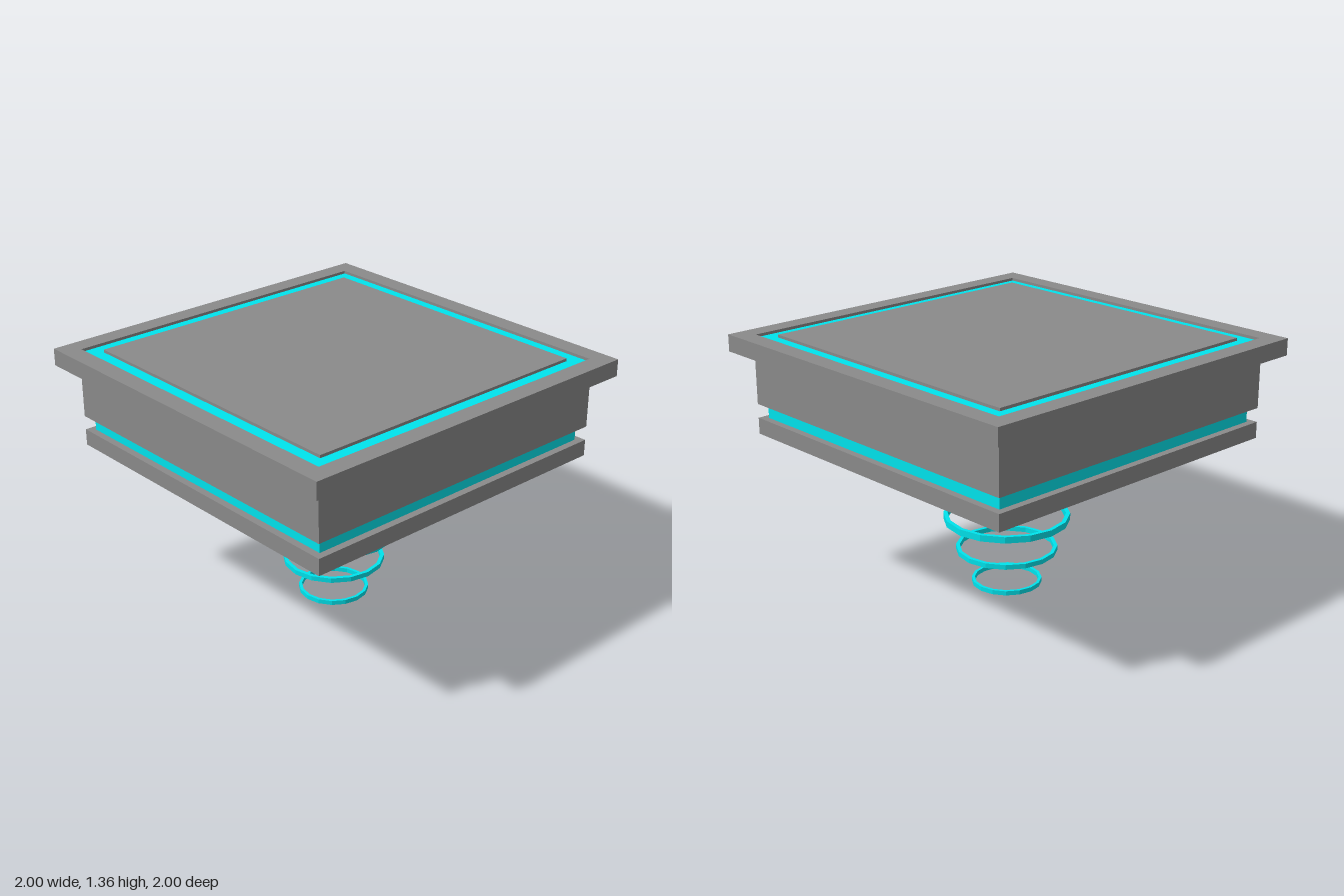
import * as THREE from 'three';

const grey = new THREE.MeshStandardMaterial({ color: 0x8a8a8a, flatShading: true });
const cyan = new THREE.MeshStandardMaterial({ color: 0x00e4ed, flatShading: true });

export function createModel() {
  const model = new THREE.Group();

  // Faceted solid from a [radius, height] profile, outside listed bottom to top
  function turned(name, profile, sides, material) {
    const points = profile.map(([r, y]) => new THREE.Vector2(r, y));
    const mesh = new THREE.Mesh(new THREE.LatheGeometry(points, sides), material);
    mesh.name = name;
    model.add(mesh);
    return mesh;
  }

  // Square version: profile radii are half widths
  function square(name, profile, material) {
    const scaled = profile.map(([r, y]) => [r * Math.SQRT2, y]);
    const mesh = turned(name, scaled, 4, material);
    mesh.geometry.rotateY(Math.PI / 4);
  }

  // Square platform, with a recessed underside and a lit groove in the top
  square('bottomPlate', [[0, 0.865], [0.82, 0.865], [0.82, 0.823], [0.908, 0.823], [0.908, 0.91], [0.87, 0.91]], grey);
  square('sideLightBand', [[0.87, 0.91], [0.87, 0.965]], cyan);
  square('platformBody', [[0.87, 0.965], [0.908, 0.985], [0.908, 1.265], [1, 1.265], [1, 1.355], [0.9, 1.355], [0.9, 1.34]], grey);
  square('topLightGroove', [[0.9, 1.34], [0.82, 1.34]], cyan);
  square('topPanel', [[0.82, 1.34], [0.82, 1.355], [0, 1.355]], grey);

  // Eight-sided thruster below the platform
  turned('thrusterCollar', [[0.41, 0.732], [0.45, 0.732], [0.472, 0.77], [0.481, 0.825], [0.481, 0.865]], 8, grey);
  turned('thrusterLightBand', [[0.41, 0.683], [0.43, 0.732]], 8, cyan);
  turned('thrusterBowl', [[0.23, 0.6], [0.34, 0.57], [0.412, 0.65], [0.432, 0.683], [0.4, 0.683]], 8, grey);
  turned('nozzleGlow', [[0.11, 0.6], [0.23, 0.6]], 8, cyan);
  turned('nozzleCore', [[0, 0.6], [0.11, 0.6]], 8, grey);

  // Floating thrust rings, shrinking downward: [outer radius, bottom, height, width]
  for (const [r, y, h, w] of [[0.335, 0.36, 0.035, 0.022], [0.27, 0.185, 0.026, 0.02], [0.187, 0, 0.024, 0.016]]) {
    turned('thrustRing', [[r - w, y], [r, y], [r, y + h], [r - w, y + h], [r - w, y]], 16, cyan);
  }

  return model;
}
